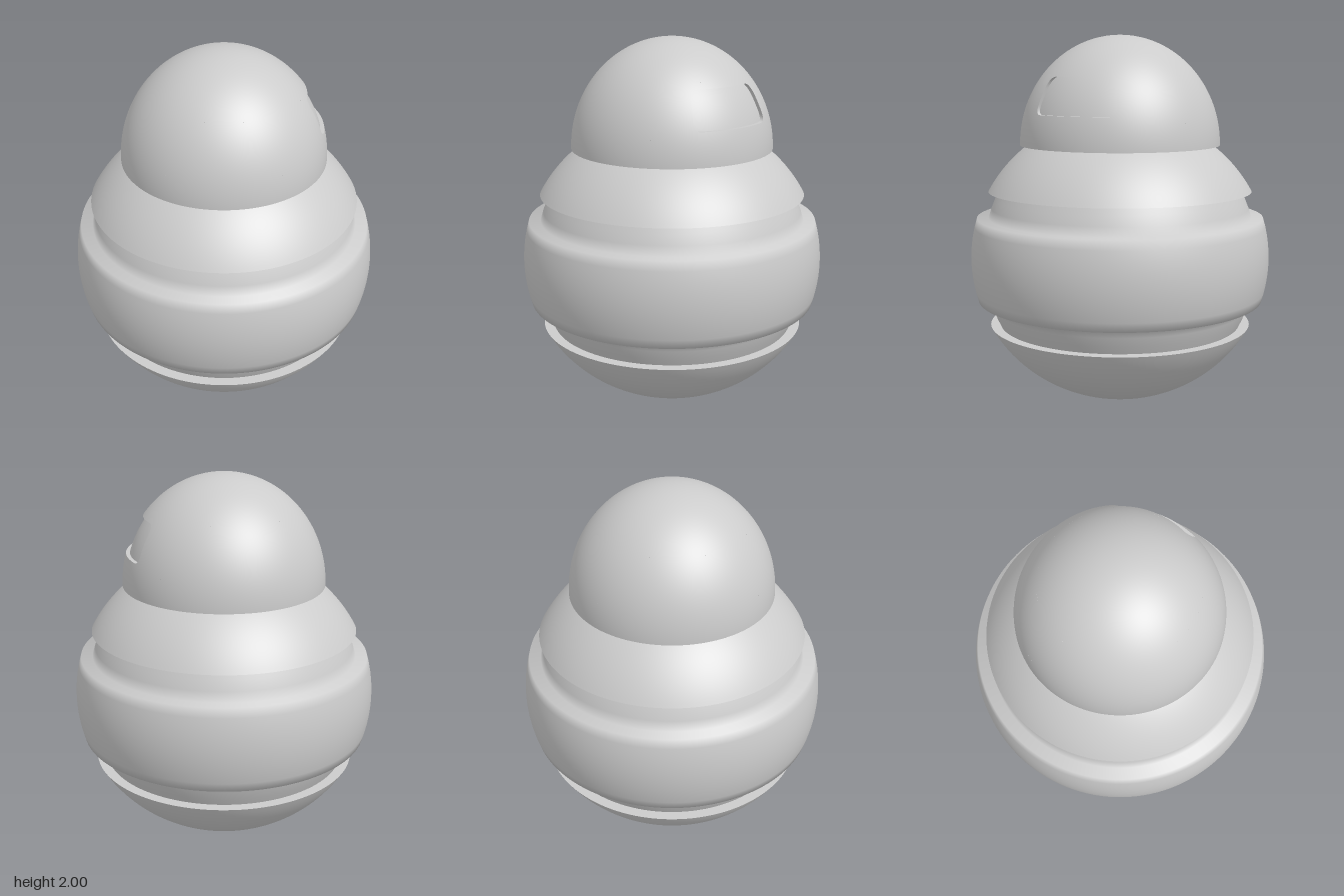
import * as THREE from 'three';

const material = new THREE.MeshStandardMaterial({ color: 0xcccccc, side: THREE.DoubleSide });
const SEG = 128;

// Flattened spheres: a = horizontal radius, b = vertical radius, c = centre height
const SHELL = { a: 0.816, b: 0.787, c: 0.79 };
const CORE = { a: 0.754, b: 0.787, c: 0.79 };
const BELT = { a: 0.82, b: 0.787, c: 0.79 };
const DOME = { a: 0.545, b: 0.59, c: 1.41 };
const DEPTH = 0.02;
const RECESS = { a: DOME.a - DEPTH, b: DOME.b - DEPTH, c: DOME.c };

const radiusAt = (e, y) => e.a * Math.sqrt(Math.max(0, 1 - ((y - e.c) / e.b) ** 2));

// Profile along a flattened sphere between two heights
function arc(e, y0, y1, n) {
  const t0 = Math.asin((y0 - e.c) / e.b), t1 = Math.asin((y1 - e.c) / e.b);
  return Array.from({ length: n + 1 }, (_, i) => {
    const t = t0 + (t1 - t0) * i / n;
    return new THREE.Vector2(Math.max(0, e.a * Math.cos(t)), e.c + e.b * Math.sin(t));
  });
}

function add(group, name, geometry) {
  const mesh = new THREE.Mesh(geometry, material);
  mesh.name = name;
  group.add(mesh);
}

const lathe = (points) => new THREE.LatheGeometry(points, SEG);
const flatRing = (r0, r1, y) => lathe([new THREE.Vector2(r0, y), new THREE.Vector2(r1, y)]);

// Piece of the dome between two heights, with an optional gap facing +x
function domeBand(y0, y1, rows, gap = 0) {
  const t0 = Math.acos(Math.min(1, (y1 - DOME.c) / DOME.b));
  const t1 = Math.acos((y0 - DOME.c) / DOME.b);
  return new THREE.SphereGeometry(1, SEG, rows, Math.PI + gap, 2 * Math.PI - 2 * gap, t0, t1 - t0)
    .scale(DOME.a, DOME.b, DOME.a).translate(0, DOME.c, 0);
}

// Surface through a list of rings; e gives exact smooth normals
function loft(rings, e) {
  const n = rings[0].length, index = [];
  for (let i = 0; i < rings.length - 1; i++) {
    for (let j = 0; j < n - 1; j++) {
      const o = i * n + j, q = o + n;
      index.push(o, o + 1, q + 1, o, q + 1, q);
    }
  }
  const points = rings.flat();
  const geometry = new THREE.BufferGeometry().setFromPoints(points);
  geometry.setIndex(index);
  if (e) {
    const normals = points.flatMap((p) =>
      new THREE.Vector3(p.x / e.a ** 2, (p.y - e.c) / e.b ** 2, p.z / e.a ** 2).normalize().toArray());
    geometry.setAttribute('normal', new THREE.Float32BufferAttribute(normals, 3));
  } else {
    geometry.computeVertexNormals();
  }
  return geometry;
}

// Rounded window outline, drawn as seen from +x
function windowOutline() {
  const s = new THREE.Shape();
  s.moveTo(0, 1.585);
  s.lineTo(0.205, 1.585);
  s.quadraticCurveTo(0.24, 1.588, 0.233, 1.63);
  s.lineTo(0.212, 1.73);
  s.quadraticCurveTo(0.196, 1.78, 0.16, 1.78);
  s.lineTo(-0.16, 1.78);
  s.quadraticCurveTo(-0.196, 1.78, -0.212, 1.73);
  s.lineTo(-0.233, 1.63);
  s.quadraticCurveTo(-0.24, 1.588, -0.205, 1.585);
  s.lineTo(0, 1.585);
  return s.getSpacedPoints(120);
}

function createHead() {
  const head = new THREE.Group();
  head.name = 'head';
  const mid = 1.68, halfH = 0.13, halfA = 0.6;
  add(head, 'domeLower', domeBand(DOME.c, mid - halfH, 10));
  add(head, 'domeMiddle', domeBand(mid - halfH, mid + halfH, 14, halfA));
  add(head, 'domeTop', domeBand(mid + halfH, DOME.c + DOME.b, 24));
  add(head, 'domeUnderside', flatRing(0.47, DOME.a, DOME.c));

  const onSurface = (e, u, y) =>
    new THREE.Vector3(Math.sqrt(Math.max(0, radiusAt(e, y) ** 2 - u * u)), y, -u);
  const outline = windowOutline();

  // Angle and height of the outline, and matching points on the patch border
  const inner = outline.map((p) => [Math.asin(p.x / radiusAt(DOME, p.y)), p.y - mid]);
  const border = inner.map(([p, h]) => {
    const k = 1 / Math.max(Math.abs(p) / halfA, Math.abs(h) / halfH);
    return [p * k, h * k];
  });
  for (const sx of [-1, 1]) for (const sy of [-1, 1]) {
    const gap = ([p, h]) => Math.hypot(p / halfA - sx, h / halfH - sy);
    let best = 0;
    border.forEach((b, i) => { if (gap(b) < gap(border[best])) best = i; });
    border[best] = [sx * halfA, sy * halfH];
  }
  const surround = [];
  for (let k = 0; k <= 6; k++) {
    surround.push(border.map(([p, h], i) => {
      const angle = THREE.MathUtils.lerp(p, inner[i][0], k / 6);
      const y = mid + THREE.MathUtils.lerp(h, inner[i][1], k / 6);
      const r = radiusAt(DOME, y);
      return new THREE.Vector3(r * Math.cos(angle), y, -r * Math.sin(angle));
    }));
  }
  add(head, 'windowSurround', loft(surround, DOME));

  // Sunken window: side wall and curved pane
  const wall = [DOME, RECESS].map((e) => outline.map((p) => onSurface(e, p.x, p.y)));
  add(head, 'windowWall', loft(wall));
  const pane = [];
  for (let k = 10; k >= 0; k--) {
    pane.push(outline.map((p) => onSurface(RECESS, p.x * k / 10, mid + (p.y - mid) * k / 10)));
  }
  add(head, 'windowPane', loft(pane, RECESS));
  return head;
}

function createBody() {
  const body = new THREE.Group();
  body.name = 'body';
  const rim = radiusAt(SHELL, 0.42), groove = 0.64;

  // Bowl at the bottom with its flat rim
  add(body, 'lowerBowl', lathe(arc(SHELL, SHELL.c - SHELL.b, 0.42, 32)));
  add(body, 'lowerBowlRim', flatRing(rim, groove, 0.42));

  // Grooves and belt share one softly shaded profile
  add(body, 'beltAndGrooves', lathe([
    ...arc(CORE, 0.415, 0.563, 3),
    ...arc(BELT, 0.563, 1.017, 9),
    ...arc(CORE, 1.017, 1.165, 3),
  ]));

  // Sloping shoulder with its flat underside
  add(body, 'shoulderUnderside', flatRing(groove, rim, 1.16));
  add(body, 'shoulder', lathe(arc(SHELL, 1.16, 1.415, 16)));
  return body;
}

export function createModel() {
  const model = new THREE.Group();
  model.name = 'roundFigure';
  model.add(createBody(), createHead());
  return model;
}
